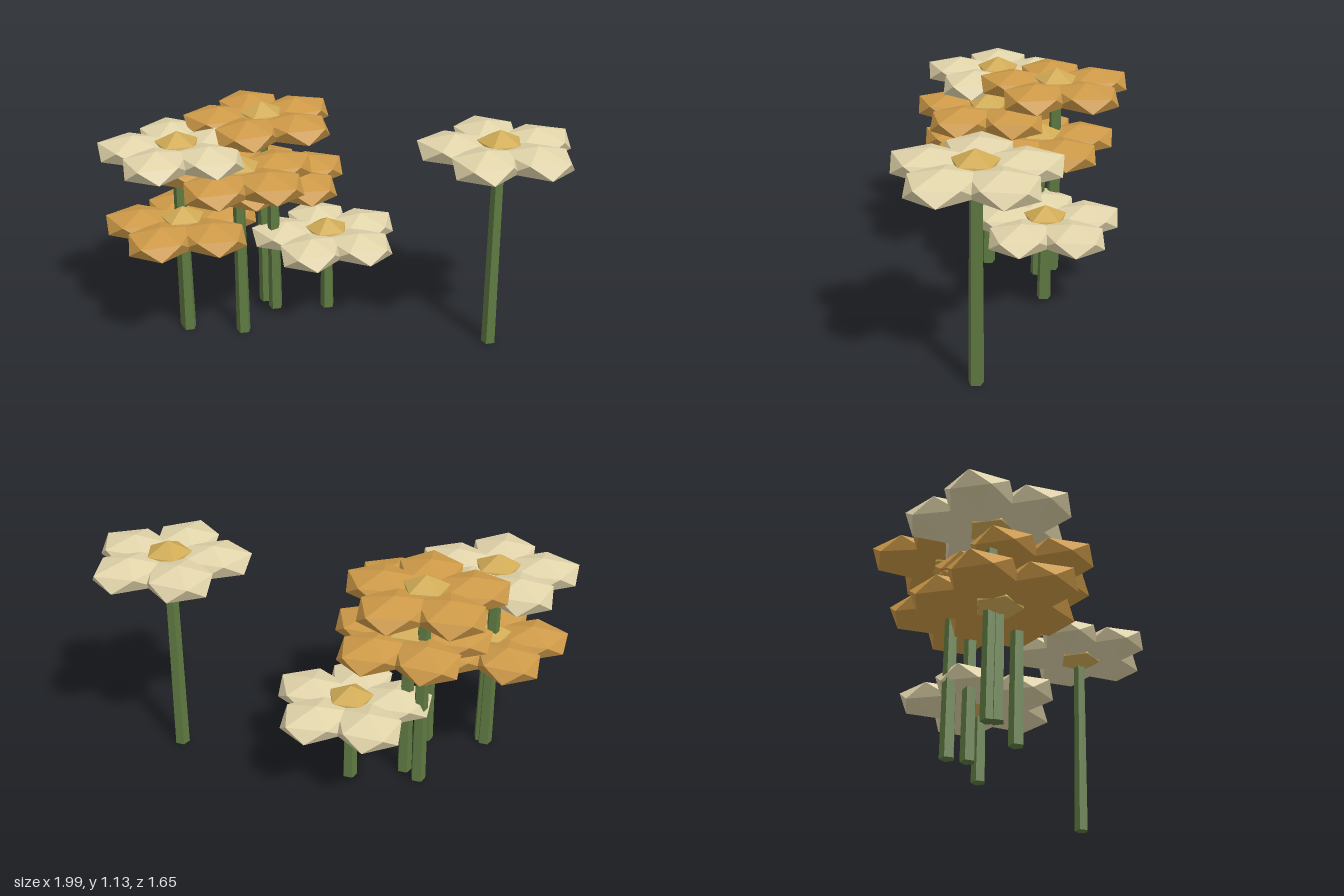
import * as THREE from 'three';
import { ConvexGeometry } from 'three/addons/geometries/ConvexGeometry.js';

const material = (color) => new THREE.MeshStandardMaterial({ color, flatShading: true });

// Twenty-sided ball standing on a vertex, with an upper ring vertex towards +x
function facetedBall(rx, ry, rz) {
  const points = [new THREE.Vector3(0, ry, 0), new THREE.Vector3(0, -ry, 0)];
  const h = 1 / Math.sqrt(5);
  for (let i = 0; i < 10; i++) {
    const a = (i * Math.PI) / 5;
    const side = i % 2 ? -1 : 1;
    points.push(new THREE.Vector3(2 * h * rx * Math.cos(a), side * h * ry, 2 * h * rz * Math.sin(a)));
  }
  return new ConvexGeometry(points);
}

export function createModel() {
  const model = new THREE.Group();
  model.name = 'flowerPatch';

  const cream = material(0xe2d5ab);
  const orange = material(0xce9a48);
  const gold = material(0xd0ab56);
  const green = material(0x5f7a42);

  const petalGeometry = facetedBall(0.2, 0.073, 0.172);
  const centreGeometry = facetedBall(0.125, 0.1, 0.125);

  function addFlower(x, y, z, turn, petalMaterial) {
    const flower = new THREE.Group();
    flower.name = 'flower';
    flower.position.set(x, 0, z);

    // Five-sided stem, slightly tapered
    const stem = new THREE.Mesh(
      new THREE.CylinderGeometry(0.03, 0.037, y, 5, 1, false, Math.PI / 2), green);
    stem.name = 'stem';
    stem.position.y = y / 2;
    flower.add(stem);

    // Blossom: five overlapping petals around a centre
    const blossom = new THREE.Group();
    blossom.name = 'blossom';
    blossom.position.y = y;
    blossom.rotation.y = THREE.MathUtils.degToRad(turn);
    for (let i = 0; i < 5; i++) {
      const a = (i * Math.PI * 2) / 5;
      const petal = new THREE.Mesh(petalGeometry, petalMaterial);
      petal.name = 'petal';
      petal.position.set(0.21 * Math.cos(a), 0, -0.21 * Math.sin(a));
      petal.rotation.y = a;
      blossom.add(petal);
    }
    const centre = new THREE.Mesh(centreGeometry, gold);
    centre.name = 'flowerCentre';
    blossom.add(centre);
    flower.add(blossom);
    model.add(flower);
  }

  // x, height, z, turn in degrees, petal colour
  addFlower(0.605, 1.03, -0.455, 0, cream);
  addFlower(-0.65, 0.96, 0.44, 3, cream);
  addFlower(-0.25, 0.41, -0.19, 3, cream);
  addFlower(-0.54, 1.015, -0.025, 8, orange);
  addFlower(-0.62, 0.58, 0.455, 0, orange);
  addFlower(-0.39, 0.86, 0.29, 0, orange);
  addFlower(-0.445, 0.745, 0.0, 0, orange);

  return model;
}
